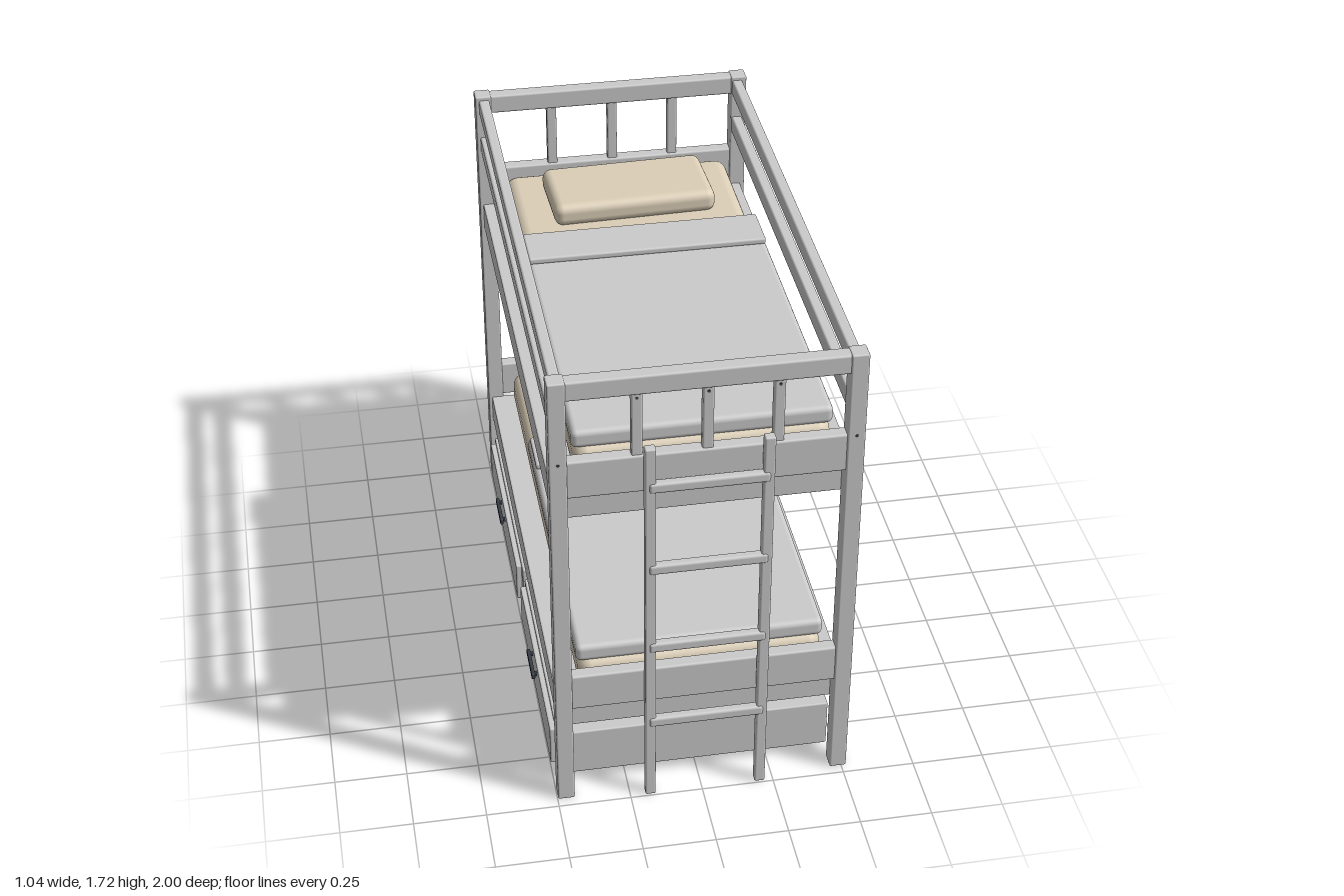
import * as THREE from 'three';
import { RoundedBoxGeometry } from 'three/addons/geometries/RoundedBoxGeometry.js';

const wood = new THREE.MeshStandardMaterial({ color: 0xcccccc });
const cream = new THREE.MeshStandardMaterial({ color: 0xdccfb8 });
const dark = new THREE.MeshStandardMaterial({ color: 0x3a404a });

// Soft-edged block given by its limits on each axis
function block(parent, name, [x0, x1], [y0, y1], [z0, z1], radius = 0.006, material = wood) {
  const geometry = new RoundedBoxGeometry(x1 - x0, y1 - y0, z1 - z0, 3, radius);
  const mesh = new THREE.Mesh(geometry, material);
  mesh.position.set((x0 + x1) / 2, (y0 + y1) / 2, (z0 + z1) / 2);
  mesh.name = name;
  parent.add(mesh);
  return mesh;
}

function bolt(parent, x, y, z) {
  const mesh = new THREE.Mesh(new THREE.CylinderGeometry(0.005, 0.005, 0.004, 10), dark);
  mesh.rotation.x = Math.PI / 2;
  mesh.position.set(x, y, z);
  mesh.name = 'bolt';
  parent.add(mesh);
}

// One bunk: base, end boards and bedding, with y = 0 at the underside of the base
function makeBunk(name, y) {
  const bunk = new THREE.Group();
  bunk.name = name;
  bunk.position.y = y;
  block(bunk, 'bedBase', [-0.485, 0.5], [0, 0.106], [-0.945, 0.91]);
  for (const z of [-0.97, 0.935]) block(bunk, 'endBoard', [-0.45, 0.47], [0.112, 0.253], [z - 0.024, z + 0.024], 0.008);
  block(bunk, 'mattress', [-0.405, 0.43], [0.106, 0.246], [-0.908, 0.882], 0.045, cream);
  block(bunk, 'blanket', [-0.412, 0.436], [0.234, 0.3], [-0.37, 0.866], 0.02);
  block(bunk, 'blanketFold', [-0.408, 0.432], [0.298, 0.322], [-0.338, -0.16], 0.008);
  const pillow = block(bunk, 'pillow', [-0.275, 0.317], [0.24, 0.325], [-0.807, -0.498], 0.032, cream);
  pillow.rotation.y = 0.035;
  return bunk;
}

function makeLadder() {
  const ladder = new THREE.Group();
  ladder.name = 'ladder';
  for (const x of [-0.18, 0.203]) block(ladder, 'ladderRail', [x - 0.018, x + 0.018], [0, 1.46], [0.962, 0.995]);
  for (let i = 0; i < 4; i++) {
    const y = 0.328 + i * 0.327;
    block(ladder, 'rung', [-0.185, 0.207], [y - 0.019, y + 0.019], [0.967, 1], 0.01);
  }
  return ladder;
}

function makeDrawer(z0, z1, panelZ0, panelZ1) {
  const drawer = new THREE.Group();
  drawer.name = 'drawer';
  block(drawer, 'drawerBox', [-0.485, 0.465], [0.032, 0.215], [z0, z1]);
  block(drawer, 'drawerFront', [-0.505, -0.475], [0.05, 0.205], [panelZ0, panelZ1]);
  const mid = (panelZ0 + panelZ1) / 2;
  block(drawer, 'handle', [-0.525, -0.512], [0.155, 0.179], [mid - 0.073, mid + 0.073], 0.005, dark);
  for (const s of [-1, 1]) block(drawer, 'handleStem', [-0.516, -0.5], [0.16, 0.174], [mid + s * 0.055 - 0.007, mid + s * 0.055 + 0.007], 0.003, dark);
  return drawer;
}

export function createModel() {
  const bed = new THREE.Group();
  bed.name = 'bunkBed';

  // Corner posts
  for (const x of [-0.469, 0.488])
    for (const z of [-0.969, 0.936]) {
      block(bed, 'post', [x - 0.029, x + 0.029], [0, 1.72], [z - 0.031, z + 0.031]);
      bolt(bed, x, 1.415, z + Math.sign(z) * 0.031);
    }

  // Guard rails along both sides
  for (const x of [-0.465, 0.483])
    for (const [y0, y1] of [[1.646, 1.706], [1.49, 1.555]])
      block(bed, 'guardRail', [x - 0.02, x + 0.018], [y0, y1], [-0.945, 0.912], 0.008);

  // Top rail and balusters at each end
  for (const z of [-0.969, 0.936]) {
    block(bed, 'topRail', [-0.45, 0.47], [1.648, 1.718], [z - 0.026, z + 0.026], 0.008);
    for (const x of [-0.216, 0.011, 0.238]) {
      block(bed, 'baluster', [x - 0.018, x + 0.018], [1.41, 1.655], [z - 0.016, z + 0.016]);
      bolt(bed, x, 1.632, z + Math.sign(z) * 0.016);
    }
  }

  bed.add(makeBunk('lowerBunk', 0.283), makeBunk('upperBunk', 1.163), makeLadder());
  bed.add(makeDrawer(0.013, 0.876, 0.04, 0.835), makeDrawer(-0.903, -0.04, -0.88, -0.08));
  return bed;
}
